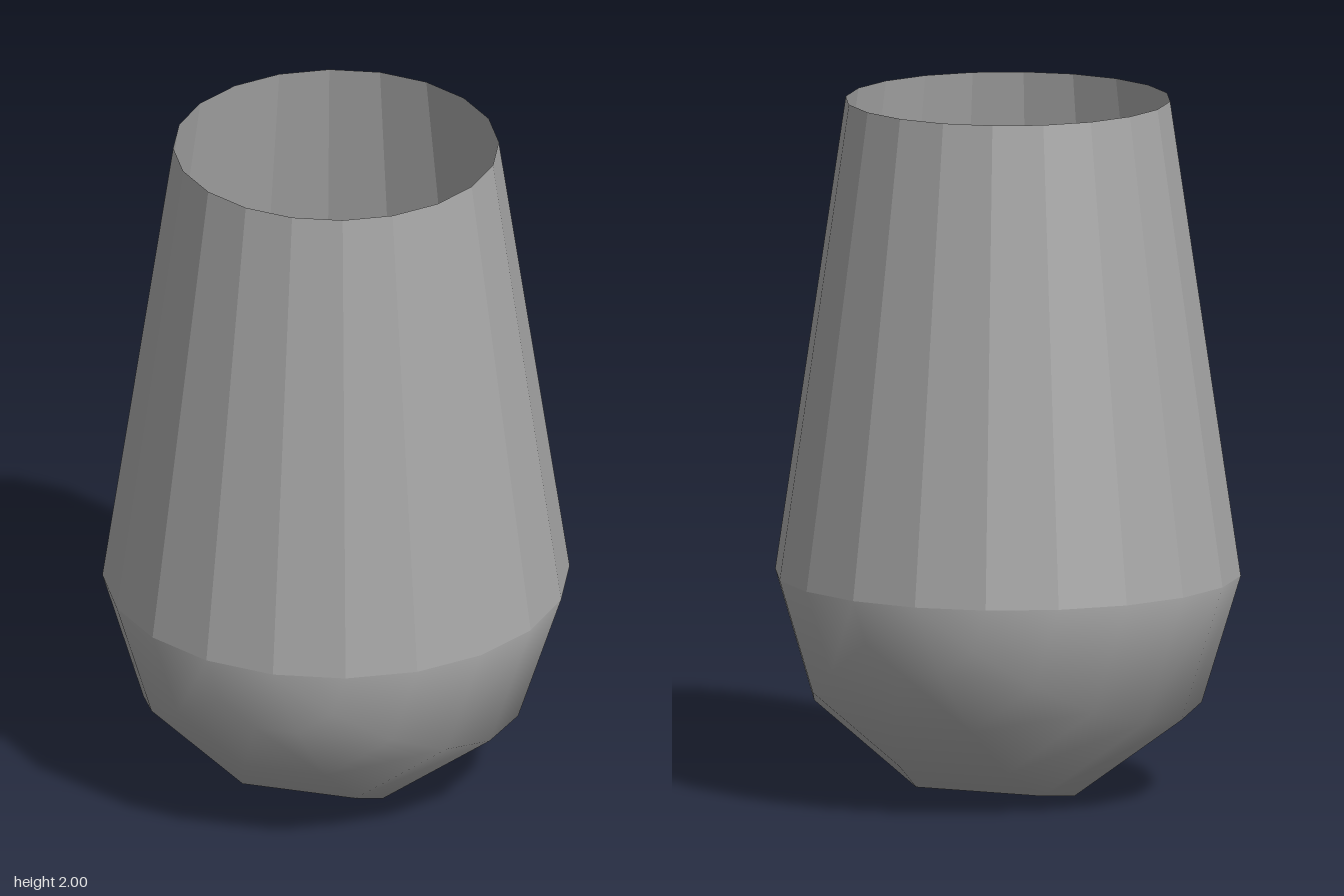
import * as THREE from 'three';

const R = 0.666;                              // radius where wall and bowl meet
const RIM = 0.464;                            // radius of the open top
const SEAM = R * Math.sin(Math.PI * 0.4);     // seam height, so the bowl stands on y = 0
const TOP = 2;

export function createModel() {
  const group = new THREE.Group();
  group.name = 'openVessel';

  const grey = new THREE.MeshStandardMaterial({ color: 0xa6a6a6, side: THREE.DoubleSide });
  grey.name = 'grey';
  const facetedGrey = grey;

  // Tapered, faceted wall, open at both ends; unshared corners give flat facets
  const wallGeometry = new THREE.CylinderGeometry(RIM, R, TOP - SEAM, 20, 1, true).toNonIndexed();
  wallGeometry.computeVertexNormals();
  const wall = new THREE.Mesh(wallGeometry, facetedGrey);
  wall.name = 'wall';
  wall.position.y = (TOP + SEAM) / 2;
  group.add(wall);

  // Smooth half-sphere bowl with its poles at front and back, coarse across x
  const bowlGeometry = new THREE.SphereGeometry(R, 5, 10, 0, Math.PI);
  bowlGeometry.rotateX(Math.PI / 2);
  const bowl = new THREE.Mesh(bowlGeometry, grey);
  bowl.name = 'bowl';
  bowl.position.y = SEAM;
  group.add(bowl);

  return group;
}
